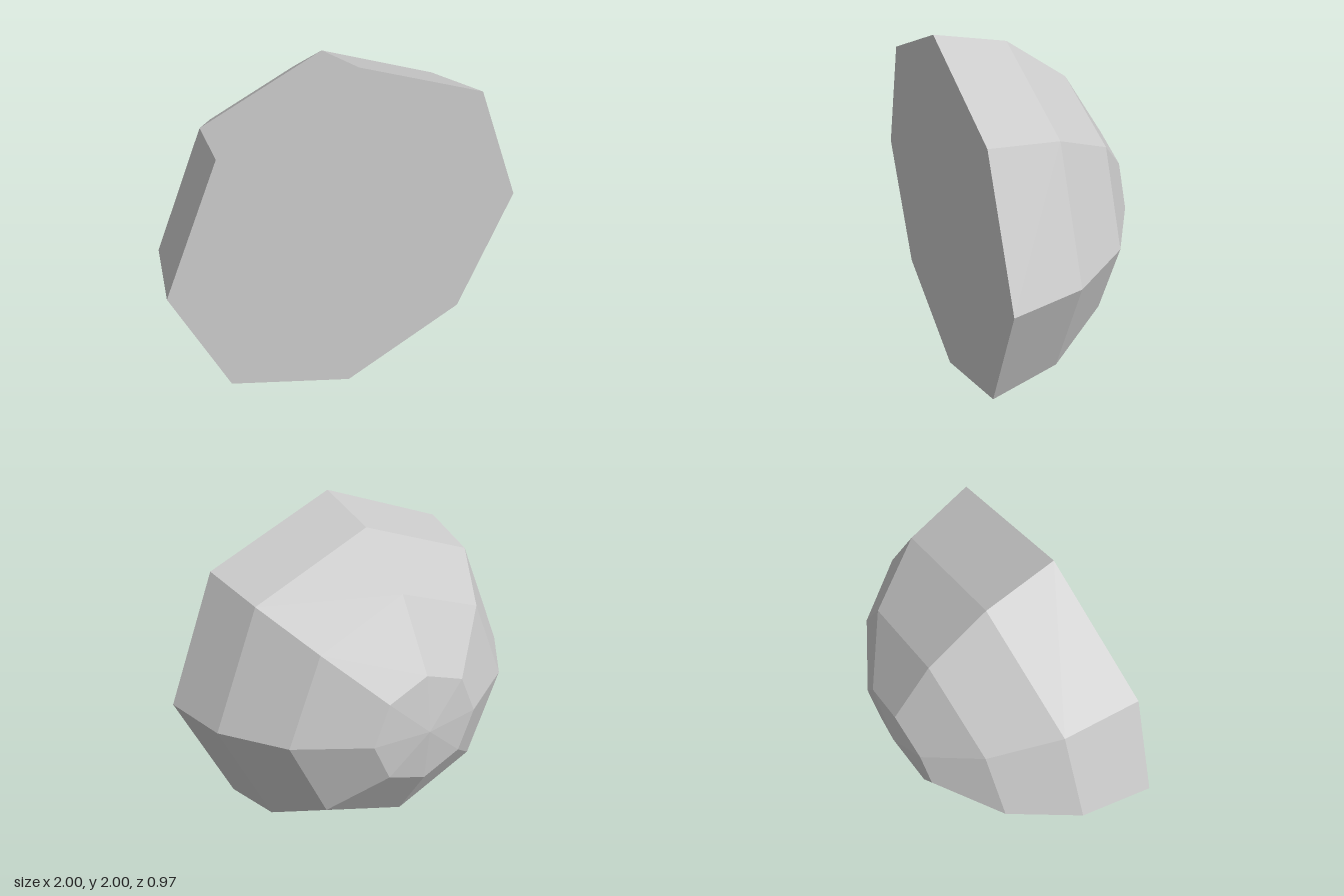
import * as THREE from 'three';

export function createModel() {
  const group = new THREE.Group();
  group.name = 'facetedDome';
  const material = new THREE.MeshStandardMaterial({ color: 0xcccccc, flatShading: true });

  // Radius and height of each ring, from the flat face to the tip
  const profile = [
    [0, -0.485], [1, -0.485], [0.917, -0.107], [0.678, 0.223], [0.317, 0.447], [0, 0.485],
  ].map(([r, h]) => new THREE.Vector2(r, h));

  // Eight-sided dome with its flat face to the front and its tip to the back
  const geometry = new THREE.LatheGeometry(profile, 8);
  geometry.rotateX(-Math.PI / 2);
  geometry.translate(0, 1, 0);

  const dome = new THREE.Mesh(geometry, material);
  dome.name = 'dome';
  group.add(dome);
  return group;
}
